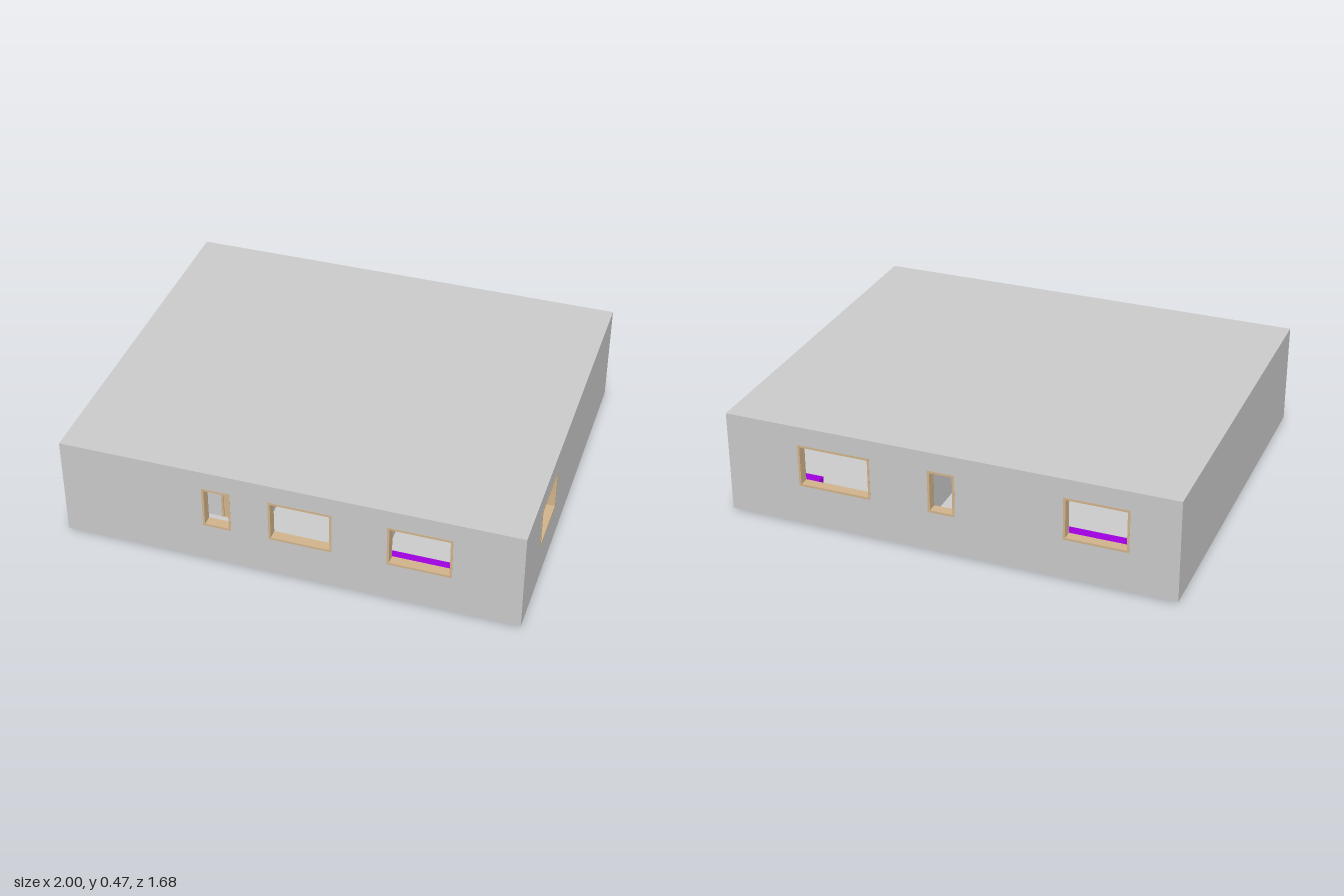
import * as THREE from 'three';

const GREY = new THREE.MeshStandardMaterial({ color: 0xcccccc });
const WOOD = new THREE.MeshStandardMaterial({ color: 0xd2b48c });
const PURPLE = new THREE.MeshStandardMaterial({ color: 0xa000e0 });

const FLOOR = 0.03, TOP = 0.46, SILL = 0.2, HEAD = 0.375, DOOR_HEAD = 0.385;

function box(name, x0, x1, y0, y1, z0, z1, mat) {
  const m = new THREE.Mesh(new THREE.BoxGeometry(x1 - x0, y1 - y0, z1 - z0), mat);
  m.position.set((x0 + x1) / 2, (y0 + y1) / 2, (z0 + z1) / 2);
  m.name = name;
  return m;
}

// rectangle outline, used both as a shape and as a hole
function rect(Type, a0, a1, y0, y1) {
  const p = new Type();
  p.moveTo(a0, y0).lineTo(a1, y0).lineTo(a1, y1).lineTo(a0, y1).closePath();
  return p;
}

function panel(name, outer, holes, depth, mat) {
  const s = rect(THREE.Shape, ...outer);
  holes.forEach(h => s.holes.push(rect(THREE.Path, ...h)));
  const m = new THREE.Mesh(new THREE.ExtrudeGeometry(s, { depth, bevelEnabled: false }), mat);
  m.name = name;
  return m;
}

// A wall runs from a0 to a1 along its axis and from b0 to b1 across it.
// windows, doors and passages are [start, end] pairs along the axis.
function wall({ name, axis, a0, a1, b0, b1, windows = [], doors = [], passages = [] }) {
  const g = new THREE.Group();
  g.name = name;
  const t = b1 - b0, rim = 0.01;
  const holes = [
    ...windows.map(([s, e]) => [s - rim, e + rim, SILL - rim, HEAD + rim]),
    ...[...doors, ...passages].map(([s, e]) => [s, e, FLOOR, DOOR_HEAD]),
  ];
  g.add(panel('wallPanel', [a0, a1, 0.012, TOP], holes, t, GREY));

  // window lining
  windows.forEach(([s, e]) => {
    const f = panel('windowFrame', [s - rim, e + rim, SILL - rim, HEAD + rim],
      [[s, e, SILL, HEAD]], t + 0.002, WOOD);
    f.position.z = -0.001;
    g.add(f);
  });

  // door lining, leaf and knobs
  doors.forEach(([s, e]) => {
    const f = panel('doorFrame', [s, e, FLOOR, DOOR_HEAD],
      [[s + rim, e - rim, FLOOR + 0.001, DOOR_HEAD - rim]], t + 0.004, WOOD);
    f.position.z = -0.002;
    g.add(f, box('doorLeaf', s + rim, e - rim, FLOOR, DOOR_HEAD - rim, t / 2 - 0.004, t / 2 + 0.004, WOOD));
    for (const side of [-1, 1]) {
      const knob = new THREE.Mesh(new THREE.SphereGeometry(0.007, 12, 8), GREY);
      knob.name = 'doorKnob';
      knob.position.set(e - 0.025, 0.2, t / 2 + side * 0.011);
      g.add(knob);
    }
  });

  if (axis === 'x') {
    g.position.z = b0;
  } else {
    g.rotation.y = -Math.PI / 2;
    g.position.x = b1;
  }
  return g;
}

export function createModel() {
  const model = new THREE.Group();
  model.name = 'apartment';

  // slabs
  model.add(box('floorSlab', -1, 1, 0.01, FLOOR, -0.84, 0.84, GREY));
  model.add(box('ceilingSlab', -1, 1, TOP, 0.47, -0.84, 0.84, GREY));

  const walls = [
    // outside
    { name: 'frontWall', axis: 'x', a0: -1, a1: 1, b0: 0.798, b1: 0.84,
      windows: [[-0.36, -0.255], [-0.07, 0.185], [0.44, 0.695]] },
    { name: 'backWall', axis: 'x', a0: -1, a1: 1, b0: -0.84, b1: -0.798,
      windows: [[-0.78, -0.52], [-0.03, 0.07], [0.35, 0.66]] },
    { name: 'leftWall', axis: 'z', a0: -0.798, a1: 0.798, b0: 0.957, b1: 1, windows: [[0.28, 0.54]] },
    { name: 'rightWall', axis: 'z', a0: -0.798, a1: 0.798, b0: -1, b1: -0.957 },
    // partitions along x
    { name: 'bedroomWall', axis: 'x', a0: -0.957, a1: -0.115, b0: -0.135, b1: -0.095, doors: [[-0.34, -0.18]] },
    { name: 'closetWall', axis: 'x', a0: -0.115, a1: 0.16, b0: -0.287, b1: -0.273, doors: [[-0.06, 0.1]] },
    { name: 'livingRoomWall', axis: 'x', a0: 0.185, a1: 0.957, b0: -0.035, b1: -0.002, passages: [[0.36, 0.72]] },
    { name: 'hallWall', axis: 'x', a0: -0.505, a1: 0.355, b0: 0.24, b1: 0.265,
      doors: [[-0.39, -0.23], [-0.08, 0.09]] },
    { name: 'bathroomWall', axis: 'x', a0: -0.505, a1: -0.21, b0: 0.57, b1: 0.587, doors: [[-0.39, -0.225]] },
    // partitions along z
    { name: 'backLeftPartition', axis: 'z', a0: -0.798, a1: -0.002, b0: 0.16, b1: 0.185 },
    { name: 'backRightPartition', axis: 'z', a0: -0.798, a1: -0.135, b0: -0.145, b1: -0.115 },
    { name: 'frontRightPartition', axis: 'z', a0: -0.095, a1: 0.798, b0: -0.53, b1: -0.505, doors: [[0, 0.16]] },
    { name: 'frontMiddlePartition', axis: 'z', a0: 0.265, a1: 0.798, b0: -0.21, b1: -0.188 },
    { name: 'frontLeftPartition', axis: 'z', a0: 0.265, a1: 0.798, b0: 0.33, b1: 0.355 },
  ];
  walls.forEach(w => model.add(wall(w)));

  // radiators, each reaching slightly through the floor: x0, x1, z0, z1
  const radiators = [
    [0.62, 0.98, -0.78, -0.72],
    [-0.82, -0.43, -0.78, -0.72],
    [0.87, 0.93, 0.24, 0.58],
    [0.4, 0.75, 0.74, 0.797],
    [0.16, 0.34, 0.74, 0.797],
    [-0.5, -0.44, 0.65, 0.82],
  ];
  radiators.forEach(([x0, x1, z0, z1]) =>
    model.add(box('radiator', Math.max(x0, -0.95), Math.min(x1, 0.98), 0, 0.18, z0, z1, PURPLE)));

  return model;
}
